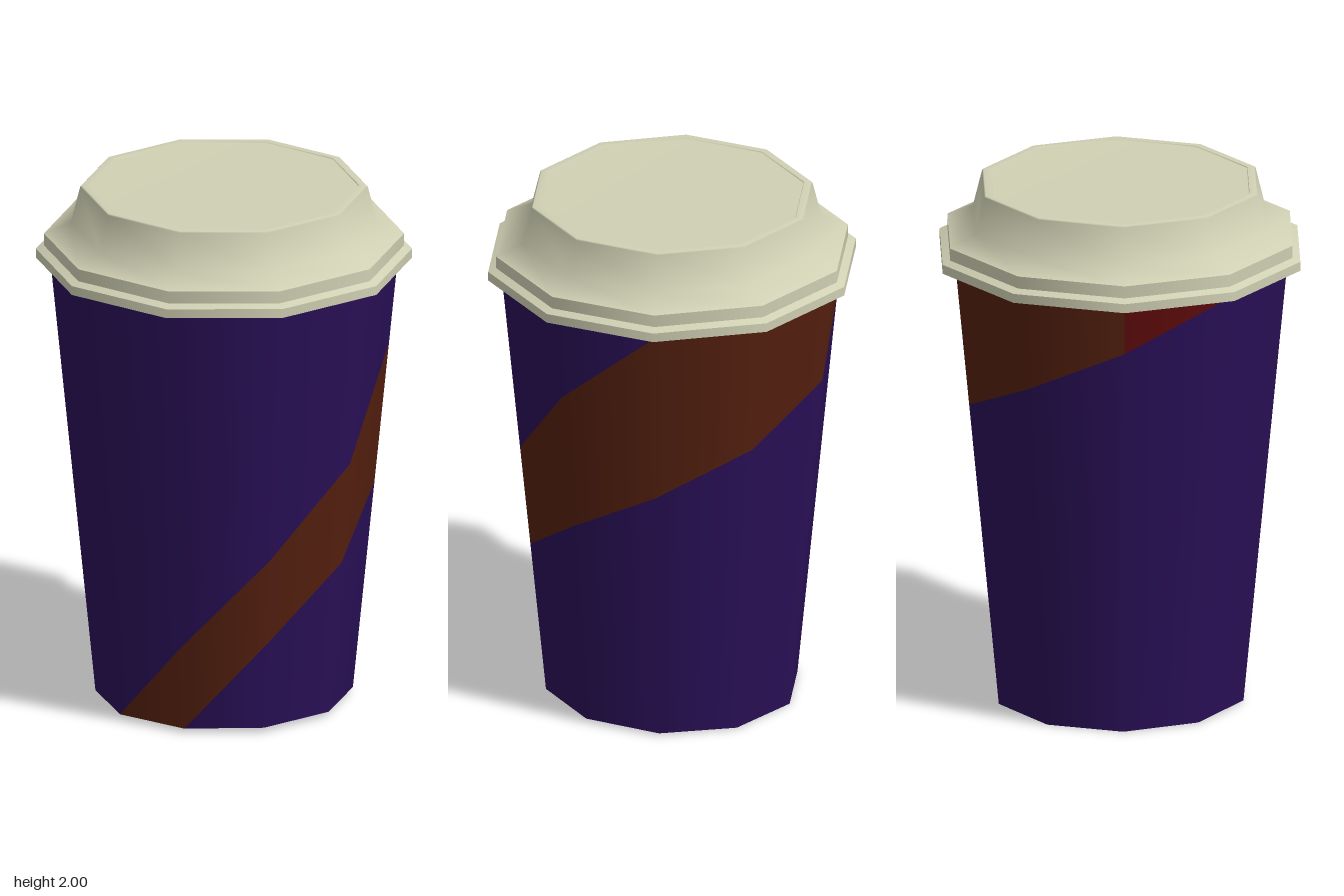
import * as THREE from 'three';

const SIDES = 10;
const TOP = 1.715;
const radiusAt = (y) => 0.478 + (0.647 - 0.478) * (y / TOP);
const angleAt = (i) => Math.PI - (i * 2 * Math.PI) / SIDES;
// the base is cut very slightly out of level
const baseY = (i) => 0.01 + 0.01 * Math.sin(angleAt(i));

const paint = (color) => new THREE.MeshStandardMaterial({ color, side: THREE.DoubleSide });
const lidPaint = paint(0xd0d0b4);
const sleevePaint = paint(0x2a1058);
const stripePaint = paint(0x55200f);
const redPaint = paint(0x600b0b);

// point on the tapered wall at corner i and height y
function wallPoint(i, y) {
  const a = angleAt(i), r = radiusAt(y);
  return [r * Math.cos(a), y, r * Math.sin(a)];
}

// piece of the wall between two height curves, over corners from..to
function wallBand(name, material, low, high, from = 0, to = SIDES) {
  const pos = [], nor = [], index = [];
  for (let i = from; i <= to; i++) {
    const a = angleAt(i);
    const n = new THREE.Vector3(Math.cos(a), -0.1, Math.sin(a)).normalize();
    for (const y of [low(i), high(i)]) {
      pos.push(...wallPoint(i, y));
      nor.push(n.x, n.y, n.z);
    }
    if (i < to) {
      const k = (i - from) * 2;
      if (high(i + 1) > low(i + 1)) index.push(k, k + 2, k + 3);
      if (high(i) > low(i)) index.push(k, k + 3, k + 1);
    }
  }
  const geo = new THREE.BufferGeometry();
  geo.setAttribute('position', new THREE.Float32BufferAttribute(pos, 3));
  geo.setAttribute('normal', new THREE.Float32BufferAttribute(nor, 3));
  geo.setIndex(index);
  const mesh = new THREE.Mesh(geo, material);
  mesh.name = name;
  return mesh;
}

function cup() {
  const group = new THREE.Group();
  group.name = 'cup';
  const edge = 1.705;
  // edges of the stripe that climbs around the wall
  const lowY = [0, 0, 0.36, 0.62, 0.83, 1.02, 1.19, 1.35, 1.53, edge, edge];
  const highY = [0, 0.35, 0.7, 1.02, 1.38, edge, edge, edge, edge, edge, edge];
  const low = (i) => Math.max(baseY(i), lowY[i]);
  const high = (i) => Math.max(baseY(i), highY[i]);
  group.add(
    wallBand('sleeveBelowStripe', sleevePaint, baseY, low),
    wallBand('sleeveAboveStripe', sleevePaint, high, () => edge),
    wallBand('stripe', stripePaint, low, high, 0, 8),
    wallBand('stripeEnd', redPaint, low, high, 8, 9),
    wallBand('cupTopEdge', redPaint, () => edge, () => TOP + 0.005)
  );

  // closed base
  const pos = [0, 0.01, 0], index = [];
  for (let i = 0; i < SIDES; i++) {
    pos.push(...wallPoint(i, baseY(i)));
    index.push(0, ((i + 1) % SIDES) + 1, i + 1);
  }
  const geo = new THREE.BufferGeometry();
  geo.setAttribute('position', new THREE.Float32BufferAttribute(pos, 3));
  geo.setIndex(index);
  geo.computeVertexNormals();
  const base = new THREE.Mesh(geo, redPaint);
  base.name = 'cupBase';
  group.add(base);
  return group;
}

function lid() {
  const group = new THREE.Group();
  group.name = 'lid';
  // each profile is smooth in itself, with a crease to the next
  const profiles = {
    lidUnderside: [[0.63, TOP], [0.7, TOP]],
    lidRim: [[0.7, TOP], [0.7, 1.75]],
    lidRimTop: [[0.7, 1.75], [0.67, 1.763]],
    lidBand: [[0.67, 1.763], [0.67, 1.81]],
    lidDome: [[0.67, 1.81], [0.57, 1.855], [0.535, 1.995], [0.53, 2], [0.503, 2]],
    lidTop: [[0.503, 2], [0.5, 1.995], [0, 1.995]],
  };
  for (const [name, points] of Object.entries(profiles)) {
    const geo = new THREE.LatheGeometry(points.map((p) => new THREE.Vector2(...p)), SIDES, Math.PI / 2);
    const mesh = new THREE.Mesh(geo, lidPaint);
    mesh.name = name;
    group.add(mesh);
  }
  return group;
}

export function createModel() {
  const model = new THREE.Group();
  model.name = 'takeawayCup';
  model.add(cup(), lid());
  return model;
}
